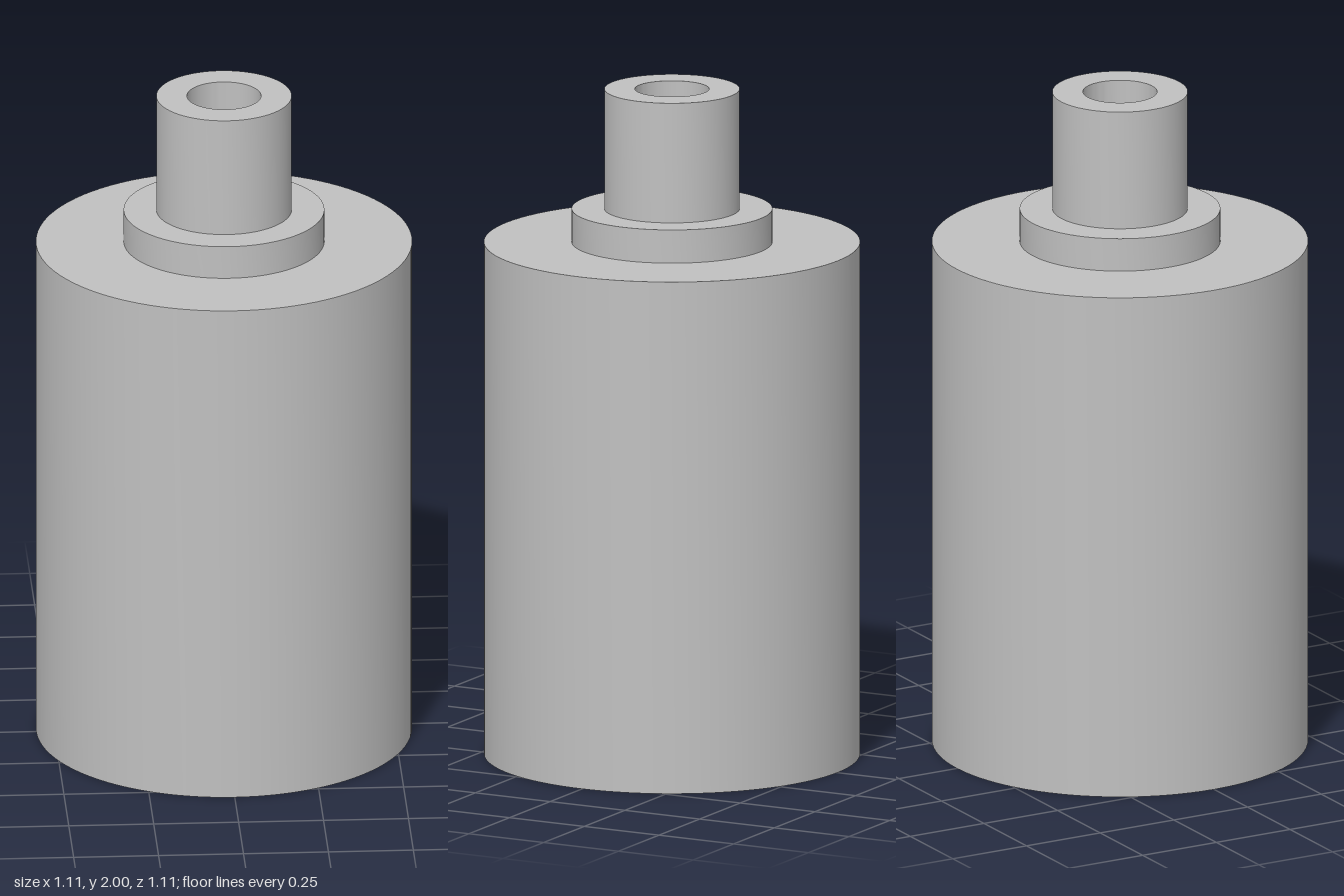
import * as THREE from 'three';
import { toCreasedNormals } from 'three/addons/utils/BufferGeometryUtils.js';

const SEGMENTS = 96;
const BODY_R = 0.553, CAVITY_R = 0.414, COLLAR_R = 0.295, NECK_R = 0.199, BORE_R = 0.109;
const CEILING_Y = 1.4, BODY_TOP = 1.54, COLLAR_TOP = 1.64, NECK_TOP = 2;

export function createModel() {
  const grey = new THREE.MeshStandardMaterial({ color: 0xc0c0c0 });
  grey.name = 'grey metal';

  const group = new THREE.Group();
  group.name = 'hollowStemmedCylinder';

  // Turned part with sharp rims and smooth walls
  function addTurned(name, profile) {
    const points = profile.map(([r, y]) => new THREE.Vector2(r, y));
    const geometry = toCreasedNormals(new THREE.LatheGeometry(points, SEGMENTS), 0.6);
    const mesh = new THREE.Mesh(geometry, grey);
    mesh.name = name;
    group.add(mesh);
  }

  // Thick-walled body, open underneath: ceiling, cavity wall, bottom rim, outer wall, shoulder
  addTurned('body', [
    [BORE_R, CEILING_Y], [CAVITY_R, CEILING_Y], [CAVITY_R, 0],
    [BODY_R, 0], [BODY_R, BODY_TOP], [COLLAR_R, BODY_TOP],
  ]);

  // Low step around the foot of the neck
  addTurned('collar', [[COLLAR_R, BODY_TOP], [COLLAR_R, COLLAR_TOP], [NECK_R, COLLAR_TOP]]);

  // Neck tube, its bore running down into the cavity
  addTurned('neck', [
    [NECK_R, COLLAR_TOP], [NECK_R, NECK_TOP], [BORE_R, NECK_TOP], [BORE_R, CEILING_Y],
  ]);

  return group;
}
